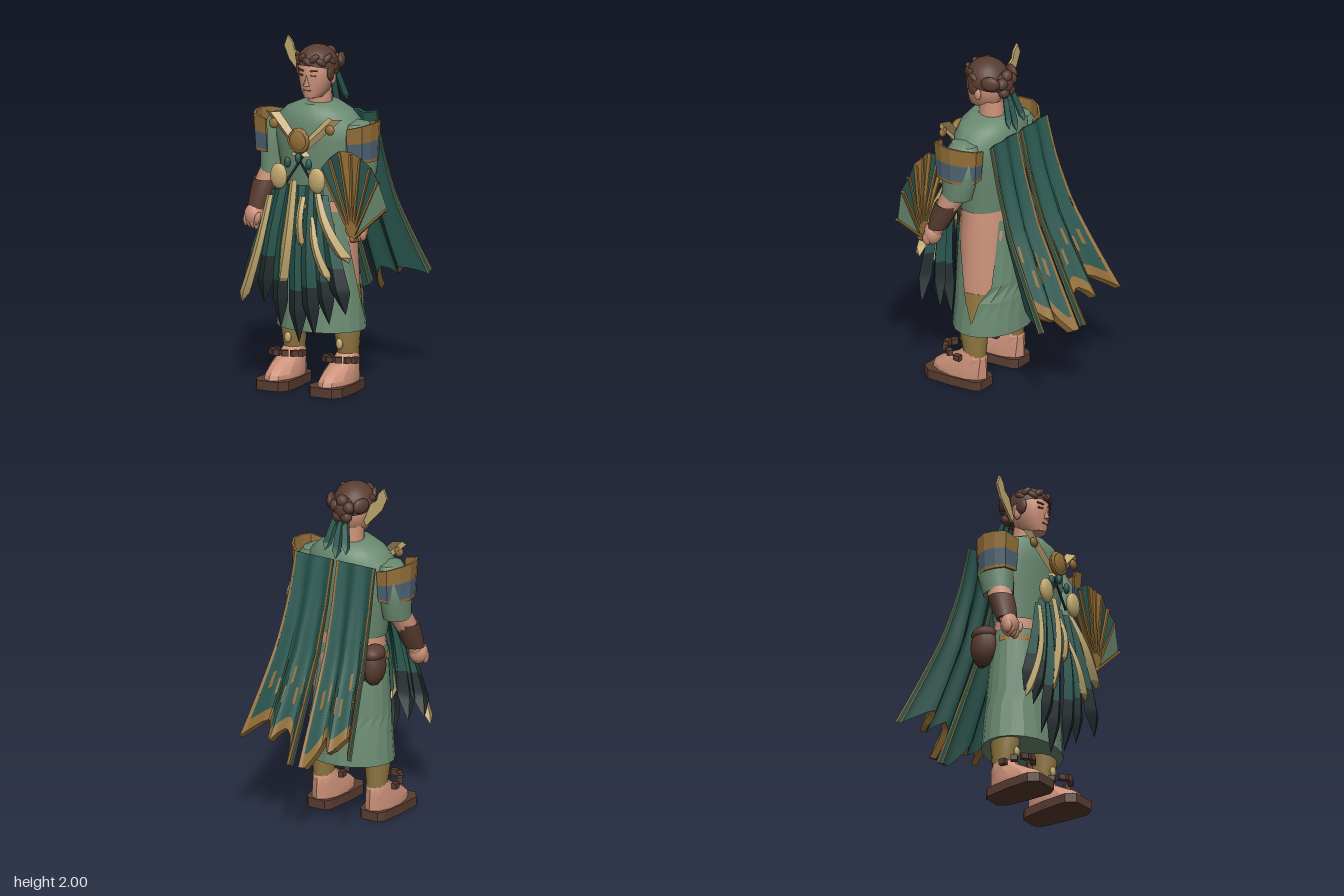
import * as THREE from 'three';
import { toCreasedNormals } from 'three/addons/utils/BufferGeometryUtils.js';

const C = -0.09; // x of the body's middle plane
const lerp = THREE.MathUtils.lerp;

// Linear interpolation along a list of number rows
function poly(rows, t) {
  const k = Math.min(Math.max(t, 0), 1) * (rows.length - 1);
  const i = Math.min(Math.floor(k), rows.length - 2);
  return rows[i].map((a, j) => lerp(a, rows[i + 1][j], k - i));
}

export function createModel() {
  const root = new THREE.Group();
  root.name = 'robedFanBearer';
  const mat = {};
  const colours = {
    sage: 0x6b8b72, teal: 0x29574f, charcoal: 0x263032, gold: 0x957039, cream: 0xc2aa70,
    skin: 0xcb9179, brown: 0x5a3d31, blue: 0x506474, ochre: 0x927842,
  };
  for (const [name, color] of Object.entries(colours)) {
    mat[name] = new THREE.MeshStandardMaterial({ color, side: THREE.DoubleSide });
    mat[name].name = name;
  }

  function add(name, geo, m, pos = [0, 0, 0], scale = [1, 1, 1], rot = [0, 0, 0]) {
    const mesh = new THREE.Mesh(geo, mat[m]);
    mesh.name = name;
    mesh.position.set(...pos);
    mesh.scale.set(...scale);
    mesh.rotation.set(...rot);
    root.add(mesh);
    return mesh;
  }
  const ball = (name, m, pos, scale, rot) => add(name, new THREE.SphereGeometry(1, 12, 8), m, pos, scale, rot);
  const box = (name, m, pos, size, rot) => add(name, new THREE.BoxGeometry(...size), m, pos, [1, 1, 1], rot);
  const plate = (pts, depth) =>
    new THREE.ExtrudeGeometry(new THREE.Shape(pts.map(p => new THREE.Vector2(...p))), { depth, bevelEnabled: false });

  // Grid surface from a rule f(u, v) -> [x, y, z]
  function surface(name, m, f, nu, nv, crease = 0.6) {
    const p = [], idx = [];
    for (let j = 0; j <= nv; j++) for (let i = 0; i <= nu; i++) p.push(...f(i / nu, j / nv));
    for (let j = 0; j < nv; j++) for (let i = 0; i < nu; i++) {
      const a = j * (nu + 1) + i, b = a + nu + 1;
      idx.push(a, b, a + 1, a + 1, b, b + 1);
    }
    const g = new THREE.BufferGeometry();
    g.setAttribute('position', new THREE.Float32BufferAttribute(p, 3));
    g.setIndex(idx);
    return add(name, toCreasedNormals(g, crease), m);
  }

  // Stacked elliptical sections, top to bottom: [y, dx, z, rx, rz, startAngle, endAngle]; angle 0 is the front
  function loft(name, m, rows, side = 1, sides = 20, crease = 0.7) {
    const full = rows.map(r => (r.length > 5 ? r : [...r, 0, Math.PI * 2]));
    return surface(name, m, (u, v) => {
      const [y, dx, z, rx, rz, a0, a1] = poly(full, v), a = lerp(a0, a1, u);
      return [C + side * dx + rx * Math.sin(a), y, z + rz * Math.cos(a)];
    }, sides, rows.length - 1, crease);
  }

  // Ribbon with a ridge, a forward bulge, a sideways bend and a pointed end
  function strip(name, m, a, b, w0, w1, { v0 = 0, v1 = 1, tip = 0.8, bulge = 0, bend = 0 } = {}) {
    surface(name, m, (u, v) => {
      const t = lerp(v0, v1, v), arc = Math.sin(Math.PI * t);
      const w = lerp(w0, w1, t) * (t > tip ? (1 - t) / (1 - tip) : 1);
      return [
        lerp(a[0], b[0], t) + (u - 0.5) * w + bend * arc,
        lerp(a[1], b[1], t),
        lerp(a[2], b[2], t) + bulge * arc + 0.3 * w * (1 - Math.abs(2 * u - 1)),
      ];
    }, 2, 10, 0.3);
  }

  // Tunic, hips, slit skirt and underskirt
  loft('tunic', 'sage', [[1.655, 0, 0.17, 0, 0], [1.65, 0, 0.17, 0.11, 0.12], [1.61, 0, 0.17, 0.2, 0.155],
    [1.55, 0, 0.17, 0.262, 0.17], [1.45, 0, 0.17, 0.277, 0.173], [1.3, 0, 0.17, 0.245, 0.168], [1.1, 0, 0.17, 0.215, 0.155]], 1, 32);
  loft('hips', 'skin', [[1.14, 0, 0.165, 0.2, 0.145], [0.95, 0, 0.16, 0.222, 0.163], [0.6, 0, 0.155, 0.237, 0.178]], 1, 24);
  loft('underTrousers', 'ochre', [[0.6, 0, 0.155, 0.238, 0.179], [0.42, 0, 0.15, 0.25, 0.185]], 1, 24);
  const turn = Math.PI * 2;
  loft('skirt', 'sage', [[1.04, 0, 0.165, 0.218, 0.16, 2.6, 1.0 + turn], [0.85, 0, 0.16, 0.232, 0.175, 2.45, 1.25 + turn],
    [0.65, 0, 0.155, 0.245, 0.19, 2.3, 1.45 + turn], [0.55, 0, 0.152, 0.253, 0.197, 1.95, 1.55 + turn],
    [0.42, 0, 0.15, 0.263, 0.205, 1.75, 1.75 + turn], [0.345, 0, 0.15, 0.27, 0.21, 1.75, 1.75 + turn],
    [0.4, 0, 0.15, 0, 0, 1.75, 1.75 + turn]], 1, 20, 0.2);
  loft('belt', 'gold', [[1.0, 0, 0.165, 0.226, 0.169, -1.6, 0.8], [0.96, 0, 0.163, 0.232, 0.174, -1.6, 0.8]], 1, 16);

  // Head, face and hair
  loft('neck', 'skin', [[1.74, 0, 0.17, 0.065, 0.07], [1.64, 0, 0.165, 0.07, 0.075]], 1, 14);
  loft('head', 'skin', [[1.95, 0, 0.205, 0, 0], [1.93, 0, 0.205, 0.075, 0.08], [1.87, 0, 0.21, 0.1, 0.106],
    [1.8, 0, 0.21, 0.097, 0.11], [1.73, 0, 0.215, 0.078, 0.1], [1.69, 0, 0.235, 0.05, 0.075], [1.675, 0, 0.24, 0, 0]], 1, 16);
  add('nose', new THREE.ConeGeometry(0.02, 0.065, 4), 'skin', [C, 1.795, 0.32], [1, 1, 1.1]);
  box('mouth', 'brown', [C, 1.735, 0.311], [0.045, 0.008, 0.009]);
  for (const s of [-1, 1]) {
    box('eye', 'brown', [C + s * 0.04, 1.822, 0.31], [0.03, 0.009, 0.009], [0, s * 0.35, 0]);
    box('eyebrow', 'brown', [C + s * 0.042, 1.85, 0.31], [0.042, 0.008, 0.009], [0, s * 0.35, s * 0.1]);
    ball('ear', 'skin', [C + s * 0.1, 1.795, 0.19], [0.014, 0.035, 0.024]);
    ball('sideburn', 'brown', [C + s * 0.102, 1.835, 0.22], [0.017, 0.05, 0.035]);
    ball('sideBraid', 'brown', [C + s * 0.1, 1.885, 0.1], [0.024, 0.045, 0.055], [0, s * 0.4, 0]);
  }
  add('hairCap', new THREE.SphereGeometry(1, 18, 8, 0, turn, 0, 1.7), 'brown', [C, 1.862, 0.195], [0.122, 0.12, 0.126], [-0.25, 0, 0]);
  for (let i = 0; i < 9; i++) {
    const a = -1.5 + i * 0.375;
    ball('fringeLock', 'brown', [C + 0.108 * Math.sin(a), 1.898 + (i % 2) * 0.02, 0.205 + 0.103 * Math.cos(a)],
      [0.036, 0.02, 0.016], [0, a, i % 2 ? 0.7 : -0.5]);
  }
  ball('hairBun', 'brown', [C, 1.86, 0.075], [0.065, 0.07, 0.05]);
  for (let i = 0; i < 5; i++) {
    const a = i * turn / 5 + 0.3;
    ball('bunBraid', 'brown', [C + 0.045 * Math.cos(a), 1.86 + 0.052 * Math.sin(a), 0.058], [0.036, 0.036, 0.032]);
  }
  for (let i = -1; i <= 1; i++) {
    strip('hairRibbon', 'teal', [C + i * 0.03, 1.82, 0.05], [C + i * 0.07, 1.58 + Math.abs(i) * 0.04, -0.015], 0.045, 0.06);
  }
  const plume = [[-0.31, 2.0], [-0.333, 1.94], [-0.3, 1.865], [-0.195, 1.75], [-0.18, 1.78], [-0.225, 1.89], [-0.265, 1.92], [-0.275, 1.96]];
  add('feather', plate(plume, 0.014), 'cream', [0, 0, 0.145]);

  // Arms, shoulder guards, legs and feet
  const guard = [[0.235, 0.05], [0.3, 0.05], [0.36, 0.105], [0.387, 0.17], [0.38, 0.24], [0.355, 0.3], [0.265, 0.32]];
  const sole = [[-0.07, -0.455], [0.07, -0.455], [0.108, -0.4], [0.102, -0.25], [0.08, -0.1], [0.055, -0.067],
    [-0.055, -0.067], [-0.08, -0.1], [-0.102, -0.25], [-0.108, -0.4]];
  for (const s of [-1, 1]) {
    loft('sleeve', 'sage', [[1.57, 0.245, 0.17, 0, 0], [1.55, 0.25, 0.17, 0.06, 0.08], [1.47, 0.275, 0.17, 0.09, 0.115],
      [1.35, 0.285, 0.175, 0.085, 0.11], [1.22, 0.283, 0.195, 0.08, 0.092], [1.225, 0.283, 0.195, 0.05, 0.06]], s);
    loft('forearm', 'skin', [[1.27, 0.285, 0.195, 0.065, 0.075], [1.18, 0.308, 0.228, 0.07, 0.074],
      [1.02, 0.335, 0.295, 0.045, 0.045], [0.98, 0.34, 0.31, 0.045, 0.045]], s, 14);
    loft('bracer', 'brown', [[1.17, 0.31, 0.235, 0.06, 0.06], [1.18, 0.315, 0.236, 0.073, 0.076], [1.1, 0.325, 0.265, 0.069, 0.072],
      [1.02, 0.335, 0.293, 0.06, 0.058], [1.02, 0.335, 0.293, 0.03, 0.03]], s, 12);
    ball('hand', 'skin', [C + s * 0.345, 0.975, 0.32], [0.058, 0.07, 0.052]);
    for (let i = 0; i < 4; i++) ball('finger', 'skin', [C + s * (0.315 + i * 0.023), 0.935 + i * 0.005, 0.335], [0.018, 0.04, 0.028]);
    ball('thumb', 'skin', [C + s * 0.3, 0.965, 0.355], [0.018, 0.04, 0.02], [0, 0, s * 0.3]);

    // Open shoulder guard in gold, blue and gold bands
    const guardAt = (u, v, k = 1) => {
      const [dx, z] = poly(guard, u), f = k * lerp(1.03, 0.93, v);
      return [C + s * (0.27 + (dx - 0.27) * f), lerp(1.53 + (dx - 0.235) * 0.27, 1.345, v), 0.18 + (z - 0.18) * f];
    };
    for (const [m, a, b] of [['gold', 0, 0.46], ['blue', 0.46, 0.92], ['gold', 0.92, 1]]) {
      surface('shoulderGuard', m, (u, v) => guardAt(u, lerp(a, b, v)), 6, 1, 0.2);
      surface('guardLining', m, (u, v) => guardAt(u, lerp(a, b, v), 0.9), 6, 1, 0.2);
    }
    for (const t of [0, 1]) surface('guardRim', 'gold', (u, v) => guardAt(u, t, lerp(0.9, 1, v)), 6, 1, 0.2);

    loft('shin', 'ochre', [[0.5, 0.16, 0.15, 0.085, 0.09], [0.33, 0.176, 0.16, 0.07, 0.09], [0.19, 0.176, 0.15, 0.058, 0.068]], s, 14);
    ball('shinBead', 'cream', [C + s * 0.17, 0.27, 0.24], [0.022, 0.032, 0.015]);
    loft('foot', 'skin', [[0.22, 0.176, 0.155, 0.055, 0.06], [0.18, 0.176, 0.17, 0.07, 0.095], [0.12, 0.176, 0.225, 0.082, 0.155],
      [0.08, 0.176, 0.25, 0.09, 0.18], [0.05, 0.176, 0.255, 0.09, 0.185]], s, 12, 0.35);
    add('sandal', plate(sole, 0.055), 'brown', [C + s * 0.176, 0, 0], [1, 1, 1], [-Math.PI / 2, 0, 0]);
    // Beaded ankle cord in front of the shin
    for (let i = 0; i < 7; i++) {
      const a = -1.5 + i * 0.5;
      box('ankletBead', 'brown', [C + s * 0.176 + 0.085 * Math.sin(a), 0.18 + 0.022 * Math.cos(a), 0.2 + 0.145 * Math.cos(a)],
        [0.04, 0.034, 0.03], [0, a, 0]);
    }
  }

  // Hip pouches
  ball('pouch', 'brown', [-0.31, 0.96, 0.045], [0.065, 0.12, 0.085]);
  ball('pouchFlap', 'brown', [-0.31, 1.035, 0.045], [0.062, 0.05, 0.08]);
  ball('smallPouch', 'brown', [-0.255, 0.94, -0.015], [0.05, 0.075, 0.045]);

  // Two folded, lined cape panels with gold hems and flecks; the outer corners flare backwards
  const path = [[1.58, -0.02], [1.32, -0.078], [1.05, -0.16], [0.77, -0.29], [0.46, -0.44]];
  const hem = [0.93, 0.89, 0.85, 0.83, 0.86, 0.9, 0.92, 0.88, 0.85, 0.88, 0.94, 1, 1].map(n => [n]);
  for (const s of [-1, 1]) {
    const cape = (u, v, lift = 0) => {
      const t = v * poly(hem, u)[0], [y, z] = poly(path, t);
      const off = (0.01 + 0.03 * t) * Math.cos(u * Math.PI * 4) + 0.06 * t * t * Math.max(0, 1 - 4 * u) + lift;
      return [C - 0.005 + s * lerp(lerp(0.265, 0.372, t * t), lerp(0.012, 0.03, t), u), y + 0.45 * off, z - 0.9 * off];
    };
    const depth = t => -0.015 - 0.035 * t; // lining lies in front of the outer cloth
    const part = (name, m, u0, u1, v0, v1, nu, nv, lift = 0) =>
      surface(name, m, (u, v) => cape(lerp(u0, u1, u), lerp(v0, v1, v), lift), nu, nv, 0.5);
    part('capePanel', 'teal', 0.05, 0.95, 0, 0.94, 24, 12);
    part('capeOuterHem', 'gold', 0, 0.05, 0, 1, 1, 12);
    part('capeInnerHem', 'gold', 0.95, 1, 0, 1, 1, 12);
    part('capeLowerHem', 'gold', 0.05, 0.95, 0.94, 1, 24, 1);
    surface('capeLining', 'teal', (u, v) => cape(u, v, depth(v)), 24, 12, 0.5);
    for (const e of [0, 1]) {
      surface('capeSide', 'teal', (u, v) => cape(e, v, depth(v) * lerp(0.25, 0.8, u)), 1, 12);
      surface('capeSideTrim', 'gold', (u, v) => cape(e, v, depth(v) * 0.25 * u), 1, 12);
      surface('capeLiningTrim', 'gold', (u, v) => cape(e, v, depth(v) * lerp(0.8, 1, u)), 1, 12);
      surface('capeEndEdge', e ? 'gold' : 'teal', (u, v) => cape(u, e, depth(e) * v), 24, 1);
    }
    for (let i = 0; i < 9; i++) {
      const u = 0.12 + i * 0.09, v = 0.72 + 0.07 * Math.sin(i * 2.3);
      part('capeFleck', 'gold', u, u + 0.035, v, v + 0.09, 2, 2, 0.008);
    }
  }

  // Front sash: teal strips with charcoal ends, and cream ribbons
  const sash = [
    [-0.25, 1.16, 0.38, -0.42, 0.54, 0.41, 0.05, 0.14, 0.02], [-0.21, 1.2, 0.38, -0.32, 0.5, 0.4, 0.07, 0.13, 0.03],
    [-0.16, 1.2, 0.37, -0.22, 0.36, 0.38, 0.07, 0.11, 0.05], [-0.1, 1.2, 0.36, -0.11, 0.28, 0.365, 0.08, 0.13, 0.03],
    [-0.03, 1.2, 0.365, 0.0, 0.33, 0.38, 0.07, 0.12, 0.05], [0.02, 1.18, 0.375, 0.1, 0.41, 0.385, 0.07, 0.13, 0.03],
    [0.06, 1.16, 0.38, 0.23, 0.49, 0.42, 0.06, 0.15, 0.02],
  ];
  for (const [x0, y0, z0, x1, y1, z1, w0, w1, bulge] of sash) {
    const split = y1 < 0.45 ? 0.66 : 0.6;
    strip('sashStrip', 'teal', [x0, y0, z0], [x1, y1, z1], w0, w1, { v1: split, bulge });
    strip('sashEnd', 'charcoal', [x0, y0, z0], [x1, y1, z1], w0, w1, { v0: split, bulge });
  }
  const ribbons = [
    [-0.275, 1.13, 0.41, -0.445, 0.49, 0.44, 0.04, 0.07, 0.03], [-0.125, 1.23, 0.4, -0.2, 0.6, 0.42, 0.045, 0.085, 0.025],
    [0.03, 1.18, 0.4, 0.25, 0.79, 0.42, 0.04, 0.11, -0.02], [-0.01, 1.05, 0.39, 0.13, 0.67, 0.43, 0.03, 0.08, -0.015],
    [-0.07, 1.14, 0.39, -0.06, 0.85, 0.42, 0.04, 0.05, 0],
  ];
  for (const [x0, y0, z0, x1, y1, z1, w0, w1, bend] of ribbons) {
    strip('creamRibbon', 'cream', [x0, y0, z0], [x1, y1, z1], w0, w1, { tip: 0.9, bulge: 0.035, bend });
  }

  // Chest harness, medallion and hanging beads
  for (const s of [-1, 1]) {
    strip('chestStrap', 'cream', [C + s * 0.205, 1.6, 0.345], [C - s * 0.03, 1.37, 0.38], 0.095, 0.07, { tip: 1 });
    ball('strapBrooch', 'gold', [C + s * 0.185, 1.535, 0.37], [0.03, 0.03, 0.016]);
    ball('cordBead', 'teal', [C + s * 0.07, 1.33, 0.41], [0.02, 0.032, 0.018]);
    ball('creamOrnament', 'cream', [C + s * 0.125, 1.245, 0.415], [0.056, 0.075, 0.028]);
    box('harnessCord', 'charcoal', [C + s * 0.035, 1.29, 0.39], [0.012, 0.2, 0.009], [0, 0, s * 0.6]);
  }
  ball('medallion', 'gold', [C, 1.46, 0.4], [0.068, 0.076, 0.03]);
  add('medallionRim', new THREE.TorusGeometry(0.06, 0.01, 6, 16), 'gold', [C, 1.46, 0.41]);
  ball('middleBead', 'teal', [C, 1.36, 0.41], [0.018, 0.03, 0.018]);
  ball('buckle', 'gold', [-0.07, 1.08, 0.395], [0.035, 0.02, 0.014]);

  // Folding fan in the left hand
  const pivot = [0.265, 0.93];
  const tips = [[0.06, 1.32], [0.11, 1.385], [0.18, 1.435], [0.25, 1.43], [0.315, 1.41], [0.38, 1.36], [0.435, 1.29], [0.488, 1.13]];
  const leaves = ['teal', 'teal', 'gold', 'gold', 'teal', 'teal', 'sage'];
  tips.forEach(([x, y], i) => {
    const dx = x - pivot[0], dy = y - pivot[1];
    if (i < leaves.length) {
      surface('fanLeaf', leaves[i], (u, v) => {
        const [tx, ty] = poly([tips[i], tips[i + 1]], u), k = lerp(0.12, 1, v);
        return [lerp(pivot[0], tx, k), lerp(pivot[1], ty, k), 0.4 + ((i + u) % 2 === 0 ? 0.01 : -0.005) * v];
      }, 1, 1, 0.1);
    }
    box('fanRib', 'gold', [pivot[0] + dx * 0.49, pivot[1] + dy * 0.49, 0.4],
      [0.013, Math.hypot(dx, dy) * 0.98, 0.028], [0, 0, Math.atan2(-dx, dy)]);
  });
  ball('fanPivot', 'gold', [pivot[0], pivot[1], 0.4], [0.02, 0.02, 0.022]);
  box('fanGrip', 'gold', [0.262, 0.93, 0.37], [0.025, 0.04, 0.07]);

  return root;
}
